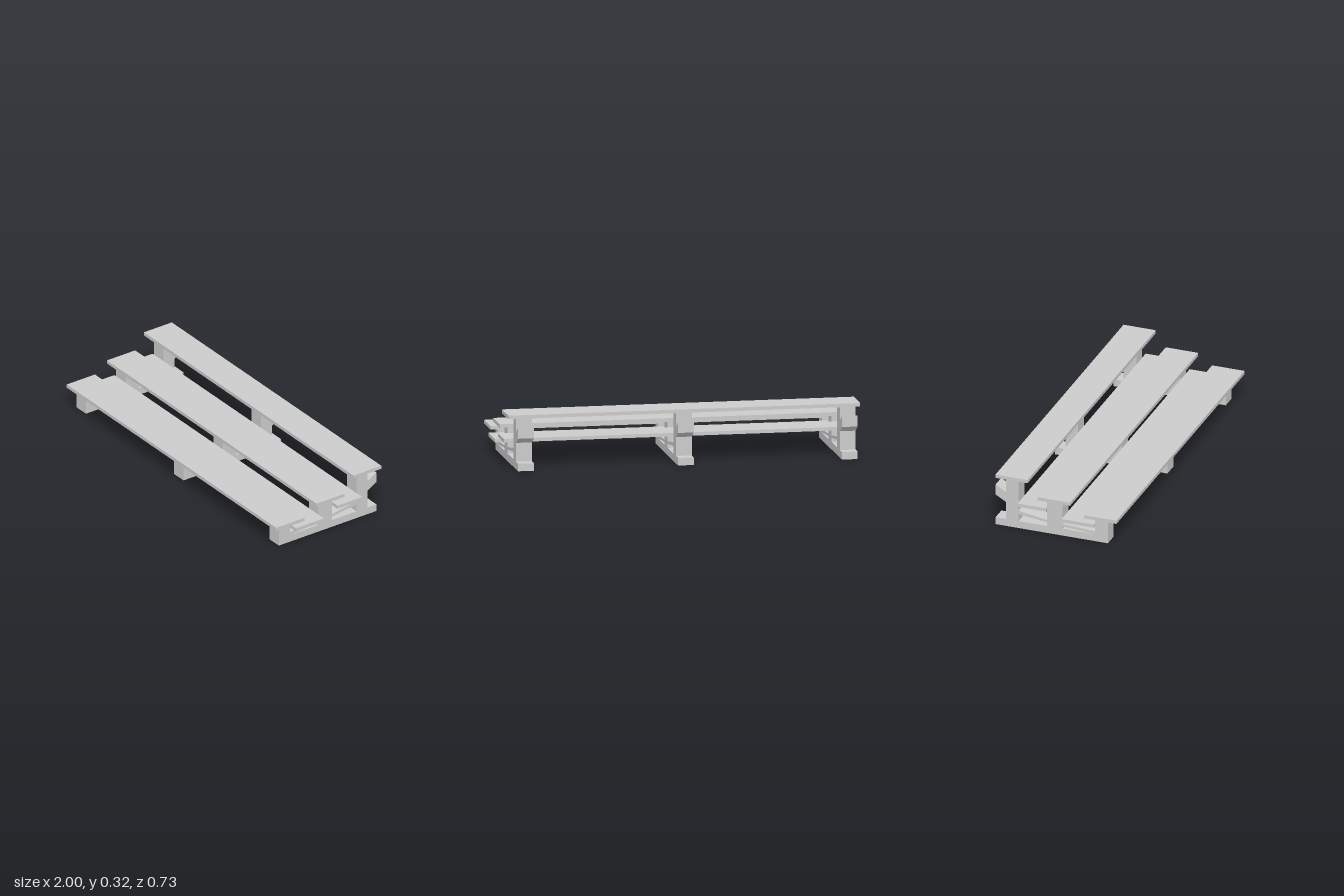
import * as THREE from 'three';

const material = new THREE.MeshStandardMaterial({ color: 0xcccccc, flatShading: true });
const LENGTH = 2;
const FRAME_WIDTH = 0.09;

// Long horizontal plank between two z positions, resting on height y
function plank(name, zBack, zFront, y) {
  const mesh = new THREE.Mesh(new THREE.BoxGeometry(LENGTH, 0.02, zFront - zBack), material);
  mesh.position.set(0, y + 0.01, (zBack + zFront) / 2);
  mesh.name = name;
  return mesh;
}

// Side profile given as [z, y] points, extruded across the frame width
function profile(name, points) {
  const shape = new THREE.Shape(points.map(([z, y]) => new THREE.Vector2(-z, y)));
  const geometry = new THREE.ExtrudeGeometry(shape, { depth: FRAME_WIDTH, bevelEnabled: false });
  geometry.translate(0, 0, -FRAME_WIDTH / 2);
  geometry.rotateY(Math.PI / 2);
  const mesh = new THREE.Mesh(geometry, material);
  mesh.name = name;
  return mesh;
}

// One support: ground beam with three posts, sloping braces and a rear bracket
function createFrame() {
  const frame = new THREE.Group();
  frame.name = 'supportFrame';
  frame.add(
    profile('beamAndPosts', [
      [0.308, 0], [-0.363, 0], [-0.363, 0.043], [-0.302, 0.043],
      [-0.302, 0.15], [-0.363, 0.185], [-0.363, 0.247], [-0.302, 0.211],
      [-0.302, 0.297], [-0.226, 0.297], [-0.226, 0.043],
      [-0.057, 0.043], [-0.057, 0.201], [0.037, 0.201], [0.037, 0.043],
      [0.23, 0.043], [0.23, 0.138], [0.308, 0.138],
    ]),
    profile('frontBrace', [[0.23, 0.044], [0.037, 0.058], [0.037, 0.073], [0.23, 0.062]]),
    profile('rearBrace', [[-0.057, 0.066], [-0.226, 0.087], [-0.226, 0.108], [-0.057, 0.081]]),
  );
  return frame;
}

export function createModel() {
  const model = new THREE.Group();
  model.name = 'bleacher';

  // Three rows of seats
  model.add(
    plank('frontSeat', 0.171, 0.365, 0.138),
    plank('middleSeat', -0.106, 0.088, 0.201),
    plank('rearSeat', -0.358, -0.166, 0.297),
  );

  // Footboards between the posts
  model.add(
    plank('lowerFootboard', 0.037, 0.23, 0.09),
    plank('upperFootboard', -0.226, -0.057, 0.14),
  );

  // Supports along the length
  for (const x of [-0.94, -0.009, 0.901]) {
    const frame = createFrame();
    frame.position.x = x;
    model.add(frame);
  }
  return model;
}
